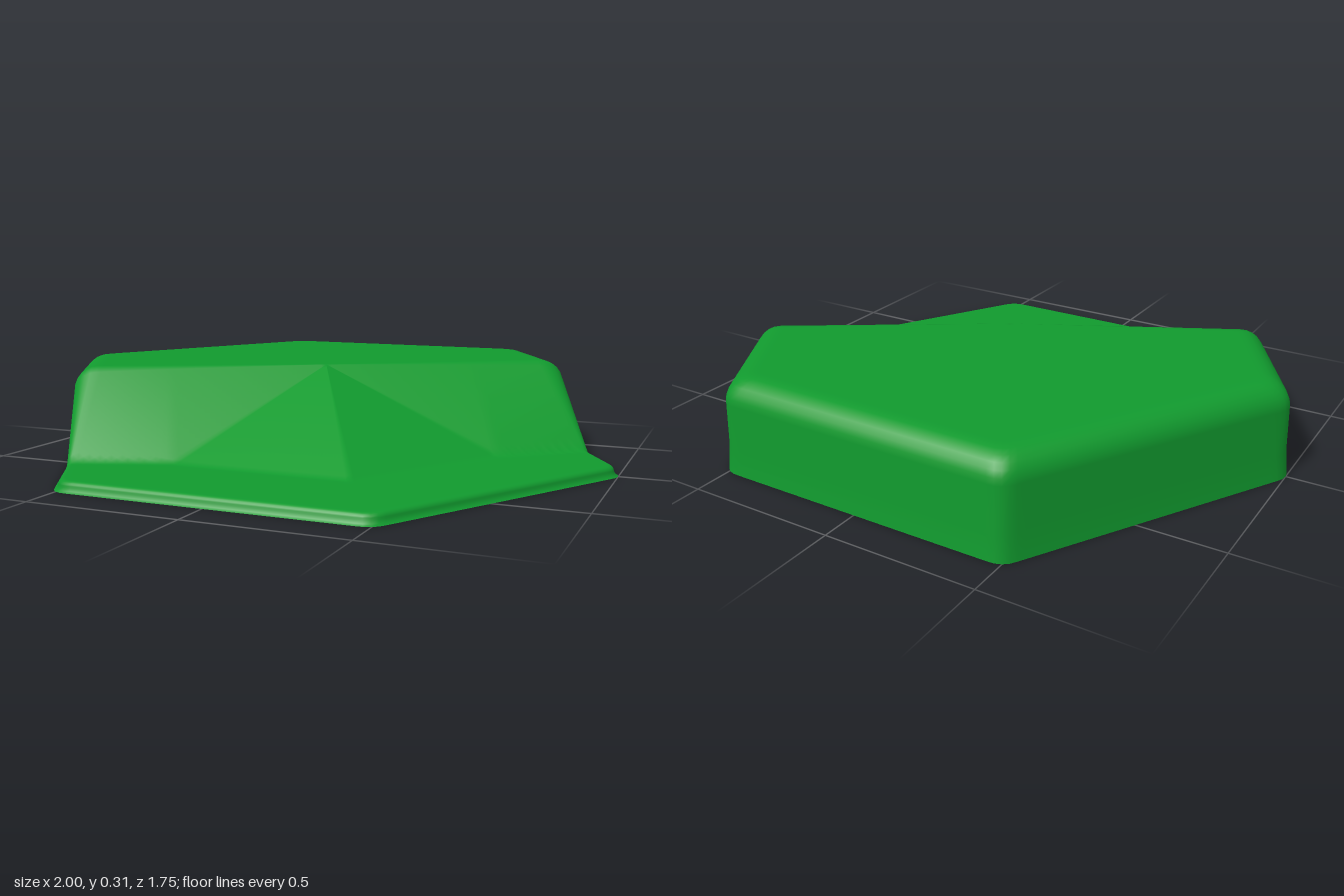
import * as THREE from 'three';

const HIGH = 0.31, LOW = 0.033;          // plateau and lowland heights
const APOTHEM = 0.875, CORNER = 0.067;   // rounded hexagon outline
const SIDES = 288, RINGS = 48, ARC = 6;
const { lerp, clamp } = THREE.MathUtils;

// Distance from the centre to the rounded hexagon outline
function outline(angle) {
  const step = Math.PI / 3;
  const a = Math.abs(angle - Math.round(angle / step) * step);
  const c = (APOTHEM - CORNER) / Math.cos(Math.PI / 6);
  const tangent = Math.atan2(CORNER * 0.5, c + CORNER * Math.cos(Math.PI / 6));
  if (a > tangent) return APOTHEM / Math.cos(Math.PI / 6 - a);
  return c * Math.cos(a) + Math.sqrt(CORNER ** 2 - (c * Math.sin(a)) ** 2);
}

// Ground height: plateau, a faceted ramp that bulges at the centre, lowland
function ground(x, z) {
  const t = Math.abs(x * 0.866 - z * 0.5);   // along the ridge
  const d = x * 0.5 + z * 0.866;             // down the ramp
  const ridge = -0.046 * t;
  const foot = t < 0.53 ? lerp(0.61, 0.305, t / 0.53) : lerp(0.305, 0.248, (t - 0.53) / 0.33);
  const mid = Math.min(0.575 * t, foot);
  const midY = lerp(HIGH, LOW, Math.min(t / 0.53, 1));
  if (d <= ridge) return HIGH;
  if (d >= foot) return LOW;
  if (d < mid) return lerp(HIGH, midY, (d - ridge) / (mid - ridge));
  return lerp(midY, LOW, clamp((d - mid) / (foot - mid), 0, 1));
}

// One column of the shell, from the bottom rim over the rounded edge to near the centre
function column(angle) {
  const R = outline(angle), cx = Math.cos(angle), cz = Math.sin(angle);
  const edge = ground(R * cx, R * cz);
  const r = lerp(0.018, 0.08, (edge - LOW) / (HIGH - LOW));
  const lean = 0.012;
  const at = (inset) => {
    const s = R * (1 - inset / APOTHEM);
    return [s * cx, s * cz];
  };
  const points = [];
  const add = ([x, z], y) => points.push([x, y, z]);
  add(at(0), 0);
  add(at(lean * 0.7), (edge - r) * 0.35);
  for (let i = 0; i <= ARC; i++) {
    const a = (i / ARC) * Math.PI / 2;
    const p = at(lean + r * (1 - Math.cos(a)));
    add(p, ground(...p) - r * (1 - Math.sin(a)));
  }
  const start = lean + r;
  for (let i = 1; i < RINGS; i++) {
    const p = at(lerp(start, APOTHEM, i / RINGS));
    add(p, ground(...p));
  }
  return points;
}

function tileGeometry() {
  const positions = [], index = [];
  let n = 0;
  for (let i = 0; i < SIDES; i++) {
    const points = column((i / SIDES) * Math.PI * 2);
    n = points.length;
    positions.push(...points.flat());
  }
  const centre = SIDES * n;
  positions.push(0, HIGH, 0);
  for (let i = 0; i < SIDES; i++) {
    const a = i * n, b = ((i + 1) % SIDES) * n;
    for (let k = 0; k < n - 1; k++) {
      index.push(a + k, a + k + 1, b + k, b + k, a + k + 1, b + k + 1);
    }
    index.push(a + n - 1, centre, b + n - 1);
  }
  const geometry = new THREE.BufferGeometry();
  geometry.setAttribute('position', new THREE.Float32BufferAttribute(positions, 3));
  geometry.setIndex(index);
  geometry.computeVertexNormals();
  return geometry;
}

export function createModel() {
  const group = new THREE.Group();
  group.name = 'hexTerrainTile';
  // Open-bottomed shell
  const material = new THREE.MeshStandardMaterial({ color: 0x119a2e, side: THREE.DoubleSide });
  const tile = new THREE.Mesh(tileGeometry(), material);
  tile.name = 'slopedGround';
  group.add(tile);
  return group;
}
